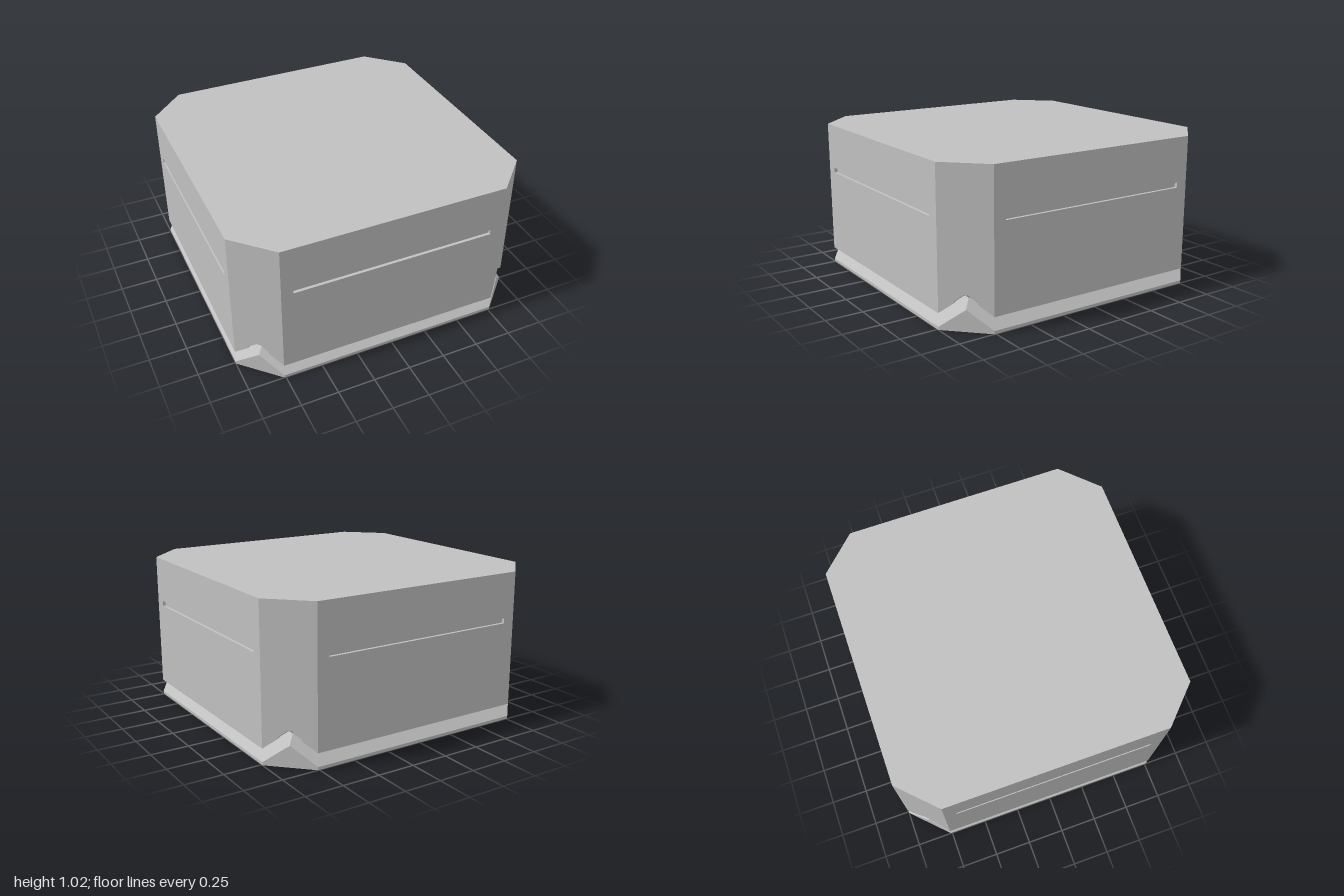
import * as THREE from 'three';

const V = (x, y, z) => new THREE.Vector3(x, y, z);
const CH = 0.24;                       // corner chamfer leg
const H = 1.02;                        // total height
const LO = 0.02, HI = 0.107, C = 0.36; // slanted channel: lower lip, upper lip, end cap
const A1 = (C - HI) / 2, A2 = (C - LO) / 2; // depths of the channel's two inner edges

// Collects flat polygons; each is turned to face the given direction.
class Faces {
  constructor() { this.pos = []; }
  add(pts, toward, hole = []) {
    const n = V(0, 0, 0);
    pts.forEach((p, i) => n.add(p.clone().cross(pts[(i + 1) % pts.length])));
    if (n.dot(toward) < 0) n.negate();
    const ax = Math.abs(n.x), ay = Math.abs(n.y), az = Math.abs(n.z);
    const flat = (p) => ax > ay && ax > az ? new THREE.Vector2(p.y, p.z)
      : ay > az ? new THREE.Vector2(p.x, p.z) : new THREE.Vector2(p.x, p.y);
    const all = [...pts, ...hole];
    for (const t of THREE.ShapeUtils.triangulateShape(pts.map(flat), hole.length ? [hole.map(flat)] : [])) {
      let [a, b, c] = t.map((i) => all[i]);
      if (b.clone().sub(a).cross(c.clone().sub(a)).dot(n) < 0) [b, c] = [c, b];
      for (const p of [a, b, c]) this.pos.push(p.x, p.y, p.z);
    }
    return this;
  }
  mesh(name, material) {
    const g = new THREE.BufferGeometry();
    g.setAttribute('position', new THREE.Float32BufferAttribute(this.pos, 3));
    g.computeVertexNormals();
    const m = new THREE.Mesh(g, material);
    m.name = name;
    return m;
  }
}

// Chamfered square ring, scaled by s, at height y.
function octagon(s, y) {
  const e = 1, k = 1 - CH;
  return [[k, e], [e, k], [e, -k], [k, -e], [-k, -e], [-e, -k], [-e, k], [-k, e]]
    .map(([x, z]) => V(x * s, y, z * s));
}

// Point measured inward from the +x face (p) and the +z face (q).
const at = (p, q, y, side = 1) => V(side * (1 - p), y, 1 - q);
// Outline mirrored across x = 0.
const both = (list, f) => [
  ...list.map(([p, q]) => at(p, q, f(q))),
  ...list.slice().reverse().map(([p, q]) => at(p, q, f(q), -1)),
];

export function createModel() {
  const model = new THREE.Group();
  const grey = new THREE.MeshStandardMaterial({ color: 0xc0c0c0 });
  grey.name = 'plain grey';

  // Flat lid
  model.add(new Faces().add(octagon(1, H), V(0, 1, 0)).mesh('top', grey));

  // Underside rim around the opening
  model.add(new Faces().add(octagon(1, 0), V(0, -1, 0), octagon(0.76, 0)).mesh('bottomRim', grey));

  // Hollow interior: lip, sloped ledge, walls and ceiling
  const cavity = new Faces();
  const rings = [octagon(0.76, 0), octagon(0.76, 0.21), octagon(0.9, 0.37), octagon(0.9, 0.95)];
  for (let r = 0; r < 3; r++) {
    for (let i = 0; i < 8; i++) {
      const j = (i + 1) % 8, a = rings[r][i], b = rings[r][j];
      cavity.add([a, b, rings[r + 1][j], rings[r + 1][i]], V(-a.x - b.x, 0, -a.z - b.z));
    }
  }
  cavity.add(rings[3], V(0, -1, 0));
  model.add(cavity.mesh('cavity', grey));

  // Side panel with a long shallow groove
  const k = 1 - CH;
  const rect = (w, y0, y1, z) => [V(-w, y0, z), V(w, y0, z), V(w, y1, z), V(-w, y1, z)];
  const outer = rect(0.68, 0.683, 0.717, 1), inner = rect(0.68, 0.683, 0.717, 0.98);
  const panel = new Faces().add(rect(k, HI, H, 1), V(0, 0, 1), outer);
  panel.add(inner, V(0, 0, 1));
  const inwards = [V(0, 1, 0), V(-1, 0, 0), V(0, -1, 0), V(1, 0, 0)];
  inwards.forEach((n, i) => {
    const j = (i + 1) % 4;
    panel.add([outer[i], outer[j], inner[j], inner[i]], n);
  });

  // Low edge strip under the channel
  const edge = new Faces().add(rect(k, 0, LO, 1), V(0, 0, 1));

  // Slanted channel: roof, floor and end cap, running out through the corners
  const roof = (q) => q + HI, floor = (q) => q + LO, cap = (q) => C - q;
  const S = 2 * A1, m = CH / 2;
  const channel = new Faces()
    .add(both([[CH, 0], [A2, CH - A2], [A2, S - A2], [A1, A1]], roof), V(0, -1, -1))
    .add(both([[CH, 0], [m, m], [A2, A2]], floor), V(0, 1, 1))
    .add(both([[A1, A1], [A2, A2]], cap), V(0, -1, 1));
  for (const s of [1, -1]) {
    const piece = (list, f, n) => channel.add(list.map(([p, q]) => at(p, q, f(q), s)), n);
    piece([[A1, A1], [CH - A1, A1], [m, m]], roof, V(0, -1, -1));
    piece([[A1, A1], [CH - A1, A1], [CH - A2, A2], [S - A2, A2]], cap, V(0, -1, 1));
    channel.add([at(A2, CH - A2, CH - A2 + HI, s), at(A2, S - A2, S - A2 + HI, s),
      at(A2, CH - A2, C - A2, s)], V(s, 0, 0));
  }

  // Chamfered corner: notched upper wall and triangular foot
  const notch = [[CH, HI], [A2, CH - A2 + HI], [A2, C - A2], [A1, C - A1]];
  const lower = notch.map(([p, y]) => at(p, CH - p, y));
  const upper = notch.slice().reverse().map(([p, y]) => at(CH - p, p, y));
  const corner = new Faces()
    .add([at(CH, 0, H), ...lower, at(m, m, m + HI), ...upper, at(0, CH, H)], V(1, 0, 1))
    .add([at(CH, 0, 0), at(CH, 0, LO), at(m, m, m + LO), at(0, CH, LO), at(0, CH, 0)], V(1, 0, 1));

  // Repeat around the four sides
  const parts = { sidePanel: panel, lowerEdge: edge, slantedChannel: channel, corner };
  for (const [name, faces] of Object.entries(parts)) {
    const first = faces.mesh(name, grey);
    for (let i = 0; i < 4; i++) {
      const copy = first.clone();
      copy.rotation.y = (i * Math.PI) / 2;
      model.add(copy);
    }
  }
  return model;
}
